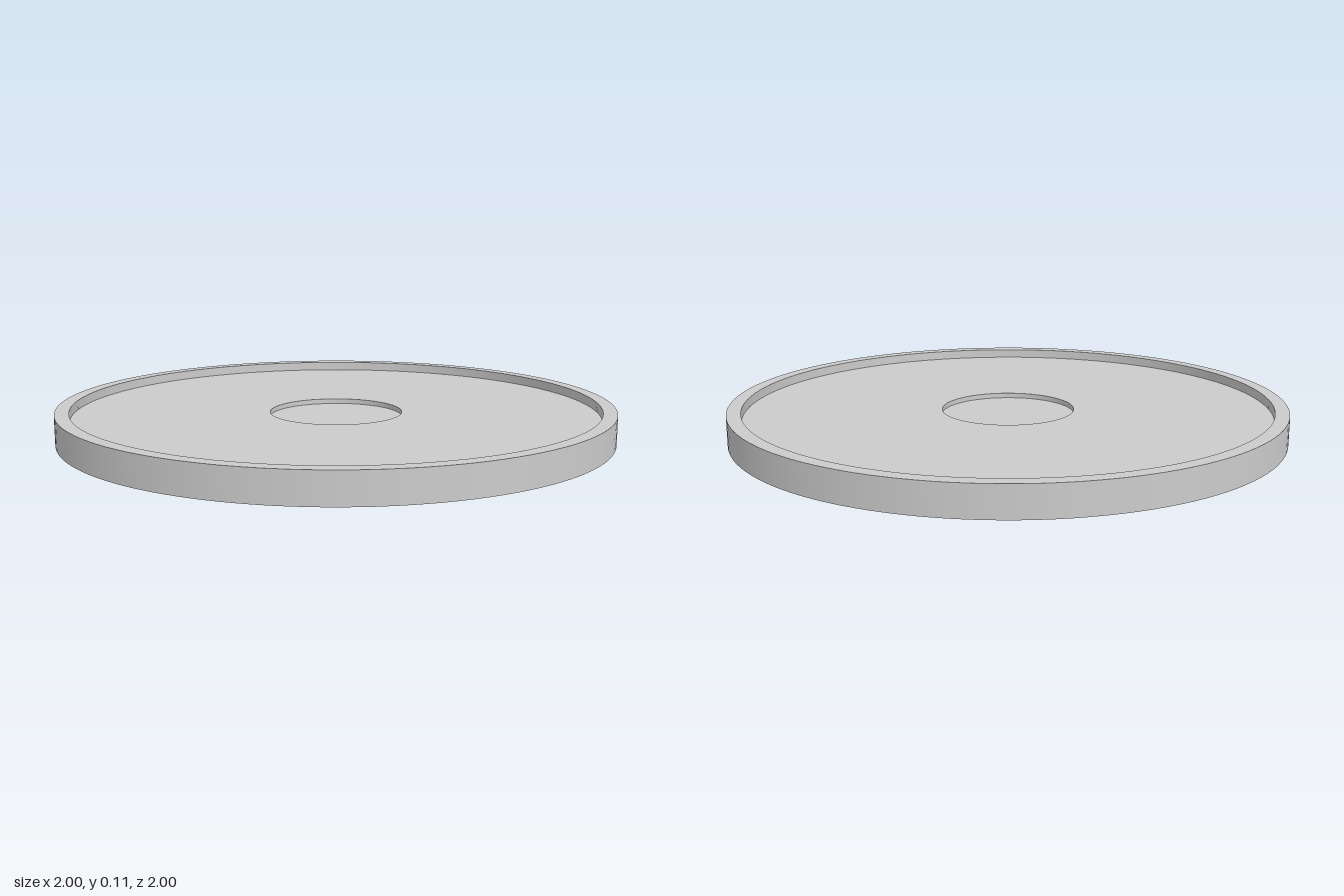
import * as THREE from 'three';

const SEGMENTS = 128;
const RIM_TOP = 0.107, FLOOR = 0.073, PAN_TOP = 0.055, PAN_BOTTOM = 0.037;
const OUTER = 1, INNER = 0.95, PAN = 0.24;

export function createModel() {
  const group = new THREE.Group();
  group.name = 'shallowRoundTray';
  const material = new THREE.MeshStandardMaterial({ color: 0xcccccc, side: THREE.DoubleSide });

  // One revolved band between two profile points; separate bands keep the edges sharp
  const band = (name, r1, y1, r2, y2) => {
    const profile = [new THREE.Vector2(r1, y1), new THREE.Vector2(r2, y2)];
    const mesh = new THREE.Mesh(new THREE.LatheGeometry(profile, SEGMENTS), material);
    mesh.name = name;
    group.add(mesh);
  };

  // Thin outer skirt, open underneath, with a flat raised rim
  band('outerSkirt', OUTER, 0, OUTER, RIM_TOP);
  band('rimTop', OUTER, RIM_TOP, INNER, RIM_TOP);
  band('rimInnerWall', INNER, RIM_TOP, INNER, FLOOR);

  // Sunken floor around the central pan
  band('trayFloor', INNER, FLOOR, PAN, FLOOR);

  // Central round recess, with a solid base showing below the floor
  band('panWall', PAN, PAN_BOTTOM, PAN, FLOOR);
  band('panTop', PAN, PAN_TOP, 0, PAN_TOP);
  band('panUnderside', 0, PAN_BOTTOM, PAN, PAN_BOTTOM);

  return group;
}
